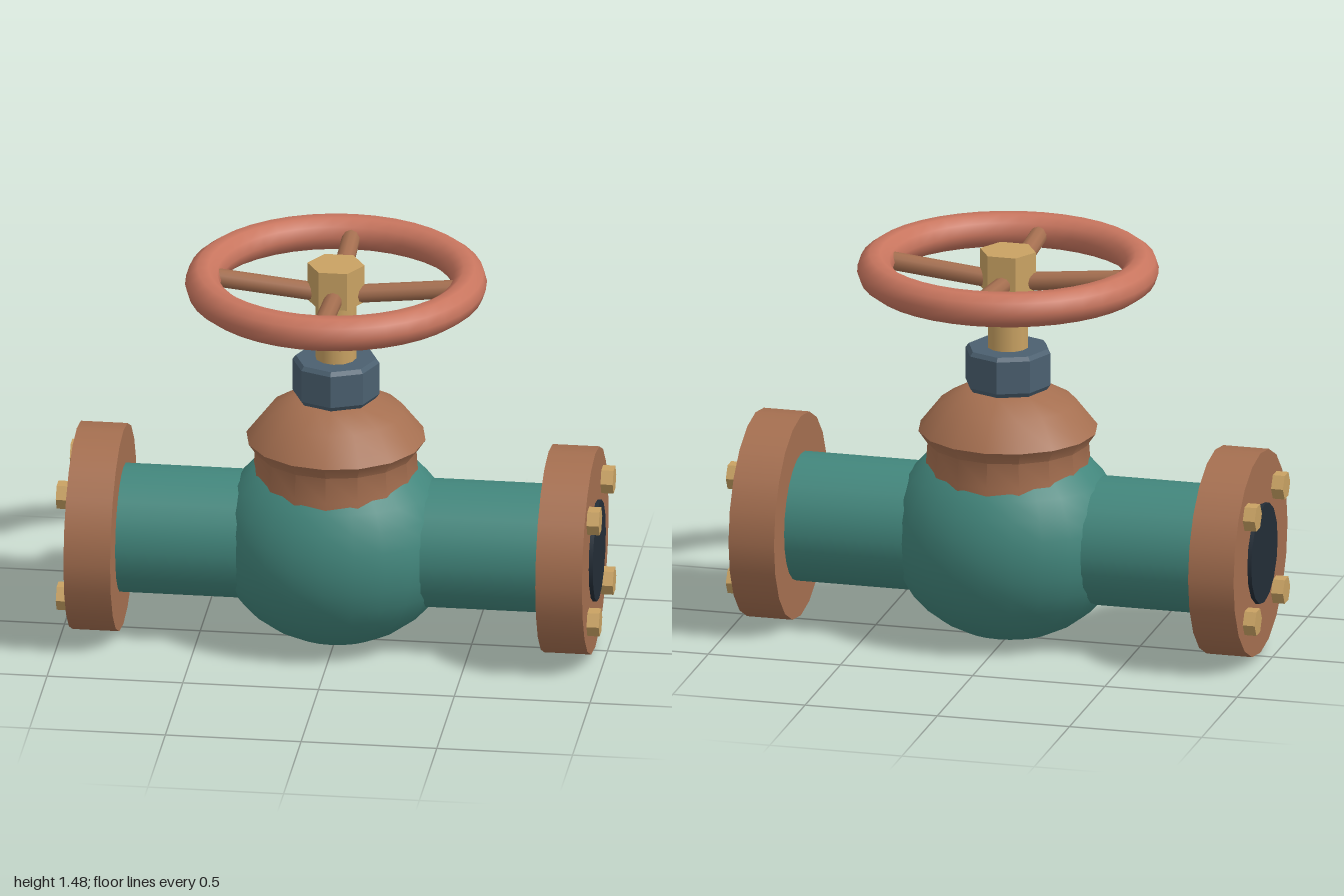
import * as THREE from 'three';
import { toCreasedNormals } from 'three/addons/utils/BufferGeometryUtils.js';

const paint = (name, color) => {
  const m = new THREE.MeshStandardMaterial({ color });
  m.name = name;
  return m;
};

export function createModel() {
  const model = new THREE.Group();
  model.name = 'globeValve';
  const teal = paint('teal', 0x42867c);
  const bronze = paint('bronze', 0xa56f50);
  const red = paint('salmonRed', 0xc9765f);
  const brass = paint('brass', 0xc9a263);
  const slate = paint('slate', 0x4b6070);
  const dark = paint('darkBore', 0x232d37);
  const axisY = 0.4; // height of the pipe axis

  const add = (name, geometry, material, x = 0, y = 0, z = 0) => {
    const mesh = new THREE.Mesh(geometry, material);
    mesh.name = name;
    mesh.position.set(x, y, z);
    model.add(mesh);
    return mesh;
  };
  const lathe = (points, sides, crease) => toCreasedNormals(
    new THREE.LatheGeometry(points.map(([r, y]) => new THREE.Vector2(r, y)), sides), crease);
  const hex = (r, h) => toCreasedNormals(new THREE.CylinderGeometry(r, r, h, 6), 0.5);
  // cylinder lying along x, between two x values
  const alongX = (r, x0, x1, sides) =>
    new THREE.CylinderGeometry(r, r, x1 - x0, sides).rotateZ(-Math.PI / 2).translate((x0 + x1) / 2, 0, 0);

  // Body and pipe
  add('body', new THREE.SphereGeometry(1, 24, 16).scale(0.44, 0.395, 0.38), teal, 0, axisY);
  add('pipe', alongX(0.238, -0.85, 0.85, 24), teal, 0, axisY);

  // Flanges, bores and bolts at both ends
  for (const s of [1, -1]) {
    const side = s > 0 ? 'left' : 'right';
    const span = (a, b) => (s > 0 ? [a, b] : [-b, -a]);
    add(side + 'Flange', alongX(0.382, ...span(0.783, 0.955), 20), bronze, 0, axisY);
    add(side + 'Bore', alongX(0.187, ...span(0.93, 0.97), 16), dark, 0, axisY);
    for (const dy of [0.2, -0.2]) {
      for (const dz of [0.2, -0.2]) {
        const bolt = hex(0.052, 0.07).rotateY(Math.PI / 2).rotateZ(-Math.PI / 2);
        // turn the hexagon so that a flat faces up
        bolt.rotateX(Math.PI / 2);
        const probe = bolt.clone();
        probe.computeBoundingBox();
        if (probe.boundingBox.max.y > probe.boundingBox.max.z) bolt.rotateX(Math.PI / 2);
        add(side + 'Bolt', bolt, brass, s * 0.965, axisY + dy, dz);
      }
    }
  }

  // Bonnet with a flared collar
  add('bonnet', lathe([
    [0.312, 0.56], [0.304, 0.66], [0.297, 0.755], [0.33, 0.803],
    [0.25, 0.905], [0.15, 0.96], [0, 0.965],
  ], 16, 0.75), bronze);

  // Packing nut with bevelled rims
  add('packingNut', lathe([
    [0, 0.945], [0.145, 0.957], [0.16, 0.978], [0.16, 1.1], [0.148, 1.115], [0, 1.115],
  ], 8, 0.5), slate);

  // Stem and hexagonal hub
  add('stem', new THREE.CylinderGeometry(0.076, 0.076, 0.3, 12), brass, 0, 1.22);
  add('hub', hex(0.105, 0.145).rotateY(Math.PI / 6), brass, 0, 1.41);

  // Handwheel rim and four slightly rising spokes
  add('handwheelRim', new THREE.TorusGeometry(0.487, 0.065, 10, 40).rotateX(Math.PI / 2), red, 0, 1.41);
  const up = new THREE.Vector3(0, 1, 0);
  for (let i = 0; i < 4; i++) {
    const a = (i * Math.PI) / 2;
    const from = new THREE.Vector3(0, 1.362, 0);
    const to = new THREE.Vector3(Math.cos(a) * 0.45, 1.408, Math.sin(a) * 0.45);
    const dir = to.clone().sub(from);
    const spoke = add('spoke', new THREE.CylinderGeometry(0.034, 0.034, dir.length(), 10), bronze);
    spoke.position.copy(from).add(to).multiplyScalar(0.5);
    spoke.quaternion.setFromUnitVectors(up, dir.normalize());
  }

  return model;
}
